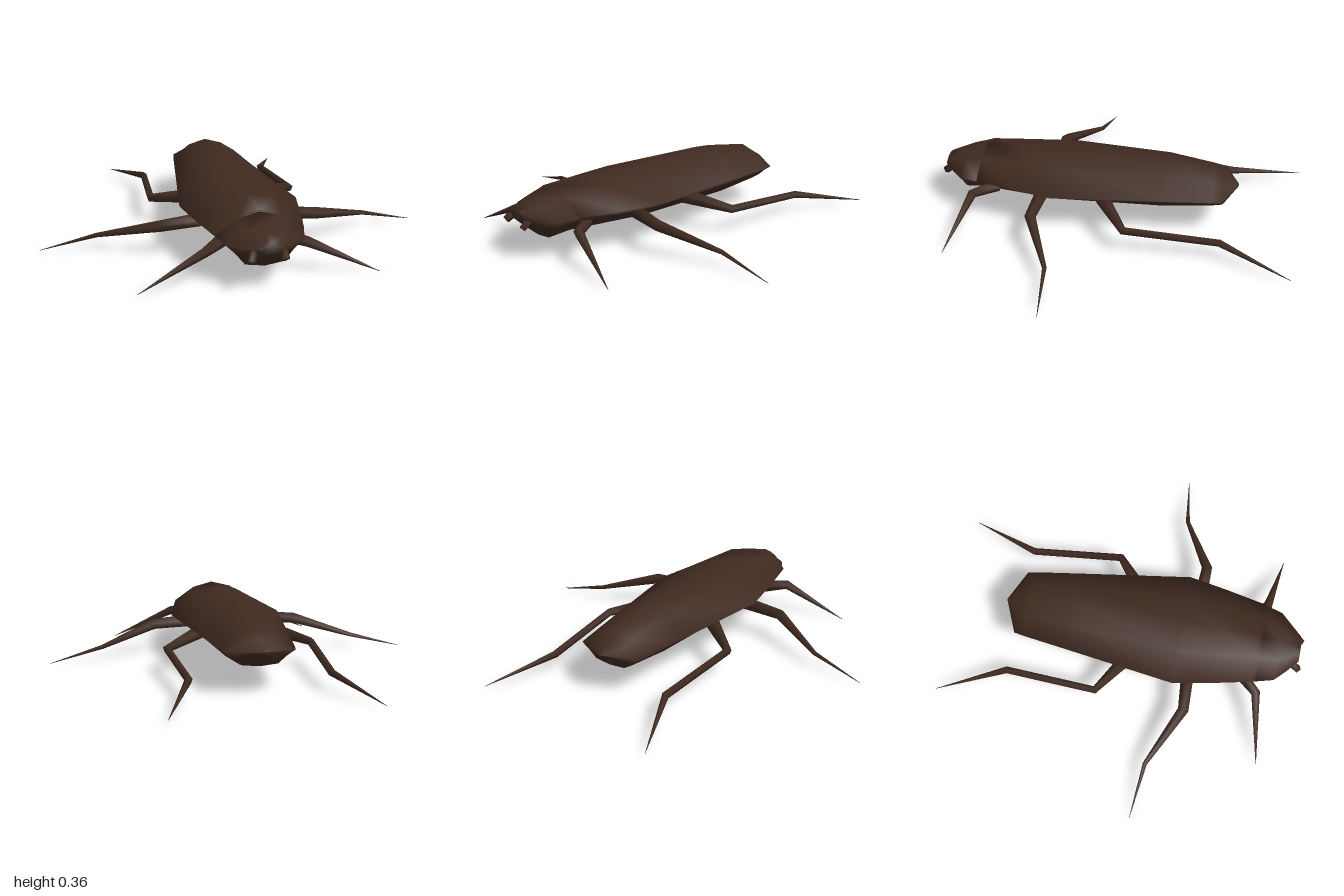
import * as THREE from 'three';

const brown = new THREE.MeshStandardMaterial({ color: 0x3f2a20 });
brown.name = 'darkBrown';

// Skin over a list of equal-length rings, with both ends closed
function loft(name, rings) {
  const n = rings[0].length, pos = [], idx = [];
  rings.forEach(r => r.forEach(p => pos.push(p.x, p.y, p.z)));
  for (let k = 0; k < rings.length - 1; k++) {
    for (let i = 0; i < n; i++) {
      const a = k * n + i, b = k * n + (i + 1) % n;
      idx.push(a, b, b + n, a, b + n, a + n);
    }
  }
  const last = (rings.length - 1) * n;
  for (let i = 1; i < n - 1; i++) {
    idx.push(0, i + 1, i, last, last + i, last + i + 1);
  }
  const geo = new THREE.BufferGeometry();
  geo.setAttribute('position', new THREE.Float32BufferAttribute(pos, 3));
  geo.setIndex(idx);
  geo.computeVertexNormals();
  const mesh = new THREE.Mesh(geo, brown);
  mesh.name = name;
  return mesh;
}

// Body cross-section: low arched back, sharp side edge, shallow belly
function section([z, w, top, side, bottom]) {
  const half = [
    [0.5 * w, top - 0.27 * (top - side)],
    [w, side],
    [0.74 * w, side - 0.4 * (side - bottom)],
    [0.5 * w, bottom + 0.12 * (side - bottom)],
  ];
  const pts = [[0, top], ...half.map(([x, y]) => [-x, y]), [0, bottom],
    ...half.slice().reverse()];
  return pts.map(([x, y]) => new THREE.Vector3(x + 0.01, y, z));
}

// Tapering jointed limb; each joint is [x, y, z, radius]
function limb(name, joints, sides = 5) {
  const p = joints.map(j => new THREE.Vector3(j[0], j[1], j[2]));
  const rings = p.map((c, k) => {
    const t = new THREE.Vector3();
    if (k > 0) t.add(c.clone().sub(p[k - 1]).normalize());
    if (k < p.length - 1) t.add(p[k + 1].clone().sub(c).normalize());
    t.normalize();
    const s = t.clone().cross(new THREE.Vector3(0, 1, 0)).normalize();
    const u = s.clone().cross(t);
    return Array.from({ length: sides }, (_, i) => {
      const a = i / sides * Math.PI * 2, r = joints[k][3];
      return c.clone().addScaledVector(u, r * Math.cos(a)).addScaledVector(s, r * Math.sin(a));
    });
  });
  return loft(name, rings);
}

export function createModel() {
  const model = new THREE.Group();
  model.name = 'beetle';

  // Abdomen and wing cases: z, half width, top, side edge, bottom
  model.add(loft('body', [
    [-0.65, 0.004, 0.24, 0.235, 0.23],
    [-0.575, 0.177, 0.285, 0.225, 0.15],
    [-0.52, 0.187, 0.325, 0.225, 0.14],
    [-0.27, 0.223, 0.363, 0.228, 0.115],
    [0.3, 0.305, 0.348, 0.23, 0.115],
    [0.5, 0.268, 0.342, 0.23, 0.118],
    [0.72, 0.22, 0.335, 0.23, 0.12],
  ].map(section)));

  // Head shield
  model.add(loft('head', [
    [0.71, 0.222, 0.336, 0.23, 0.12],
    [0.82, 0.19, 0.3, 0.22, 0.1],
    [0.88, 0.13, 0.28, 0.22, 0.15],
    [0.935, 0.07, 0.258, 0.23, 0.2],
  ].map(section)));

  // Legs given for the left side: offset in x, then joints
  const legs = {
    frontLeg: [0, [[0.15, 0.17, 0.63, 0.035], [0.25, 0.165, 0.74, 0.026],
      [0.59, 0.008, 0.808, 0.001]]],
    middleLeg: [0, [[0.2, 0.18, 0.37, 0.036], [0.41, 0.165, 0.38, 0.03],
      [0.71, 0.085, 0.23, 0.012], [0.995, 0.015, 0.197, 0.001]]],
    hindLeg: [0.01, [[0.19, 0.19, 0.05, 0.04], [0.39, 0.14, -0.1, 0.022],
      [0.355, 0.105, -0.59, 0.02], [0.507, 0.035, -0.96, 0.001]]],
  };
  for (const [side, sx] of [['left', 1], ['right', -1]]) {
    for (const [name, [dx, joints]] of Object.entries(legs)) {
      model.add(limb(`${side} ${name}`, joints.map(([x, y, z, r]) => [sx * x + dx, y, z, r])));
    }
    // Short antenna stub
    model.add(limb(`${side} antenna`, [
      [sx * 0.068 + 0.003, 0.225, 0.89, 0.022],
      [sx * 0.08 - 0.005, 0.18, 0.945, 0.02],
    ], 4));
  }
  return model;
}
